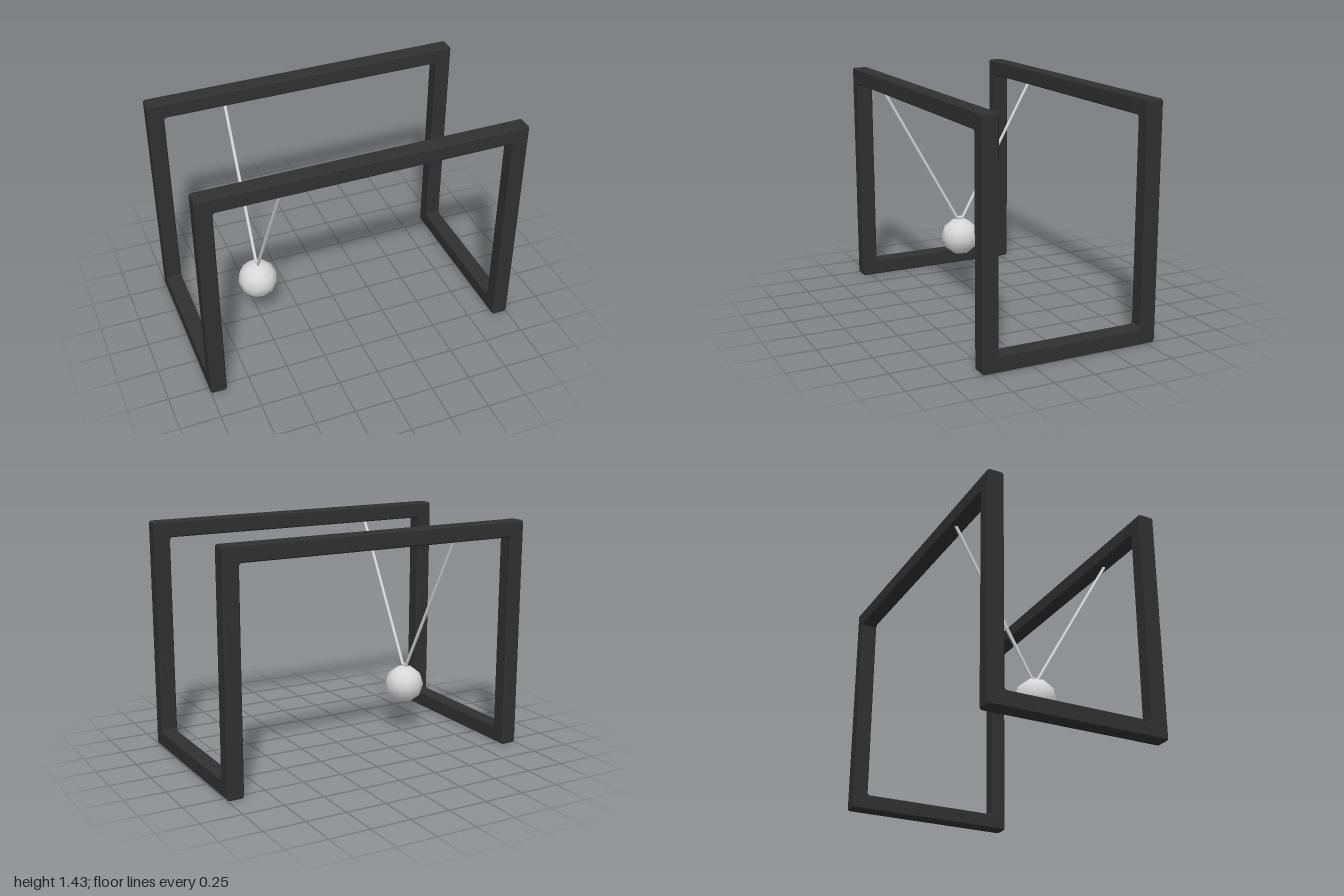
import * as THREE from 'three';

const H = 1.43;   // frame height
const HX = 1.0;   // half length
const HZ = 0.555; // half depth
const T = 0.099;  // bar thickness
const B = 0.007;  // edge bevel

// Chamfered U of square bar, standing in the xy plane and centred on z
function uFrame(half, inverted) {
  const c = 0.012, e = 0.01, i = half - T;
  const side = [
    [i - c, T], [i, T + c], [i, H - e], [i + e, H], [half - e, H], [half, H - e], [half, e], [half - e, 0],
  ];
  const mirrored = side.map(([x, y]) => [-x, y]).reverse();
  const points = [...side, ...mirrored].map(([x, y]) => new THREE.Vector2(x, inverted ? H - y : y));
  const geometry = new THREE.ExtrudeGeometry(new THREE.Shape(points), {
    depth: T - 2 * B, bevelEnabled: true, bevelThickness: B, bevelSize: B, bevelOffset: -B, bevelSegments: 1,
  });
  return geometry.translate(0, 0, -T / 2 + B);
}

// Thin round rod between two points
function rod(a, b, radius) {
  const dir = b.clone().sub(a);
  const geometry = new THREE.CylinderGeometry(radius, radius, dir.length(), 8);
  geometry.applyQuaternion(new THREE.Quaternion().setFromUnitVectors(new THREE.Vector3(0, 1, 0), dir.normalize()));
  const mid = a.clone().add(b).multiplyScalar(0.5);
  return geometry.translate(mid.x, mid.y, mid.z);
}

export function createModel() {
  const model = new THREE.Group();
  model.name = 'pendulumStand';
  const frameMaterial = new THREE.MeshStandardMaterial({ color: 0x303030 });
  frameMaterial.name = 'darkFrame';
  const metalMaterial = new THREE.MeshStandardMaterial({ color: 0xd9d9d9 });
  metalMaterial.name = 'paleMetal';

  const add = (name, geometry, material, parent = model) => {
    const mesh = new THREE.Mesh(geometry, material);
    mesh.name = name;
    parent.add(mesh);
    return mesh;
  };

  // Frame: arches at front and back share their legs with the side U frames
  for (const s of [1, -1]) {
    const arch = add(s > 0 ? 'frontArch' : 'backArch', uFrame(HX, true), frameMaterial);
    arch.position.z = s * (HZ - T / 2);
    const base = add(s > 0 ? 'leftBaseFrame' : 'rightBaseFrame', uFrame(HZ, false), frameMaterial);
    base.rotation.y = Math.PI / 2;
    base.position.x = s * (HX - T / 2);
  }

  // Pendulum: faceted ball hung from two slanted strings
  const pendulum = new THREE.Group();
  pendulum.name = 'pendulum';
  pendulum.position.x = -0.51;
  model.add(pendulum);

  const ballGeometry = new THREE.IcosahedronGeometry(0.125, 1);
  ballGeometry.rotateX(Math.atan(2 / (1 + Math.sqrt(5))) - Math.PI / 2);
  add('ball', ballGeometry, metalMaterial, pendulum).position.y = 0.319;

  const point = (y, z) => new THREE.Vector3(0, y, z);
  for (const s of [1, -1]) {
    add(s > 0 ? 'frontString' : 'backString', rod(point(0.446, s * 0.019), point(1.35, s * 0.528), 0.01),
      metalMaterial, pendulum);
  }
  add('stringLink', rod(point(0.449, -0.026), point(0.449, 0.026), 0.01), metalMaterial, pendulum);

  return model;
}
